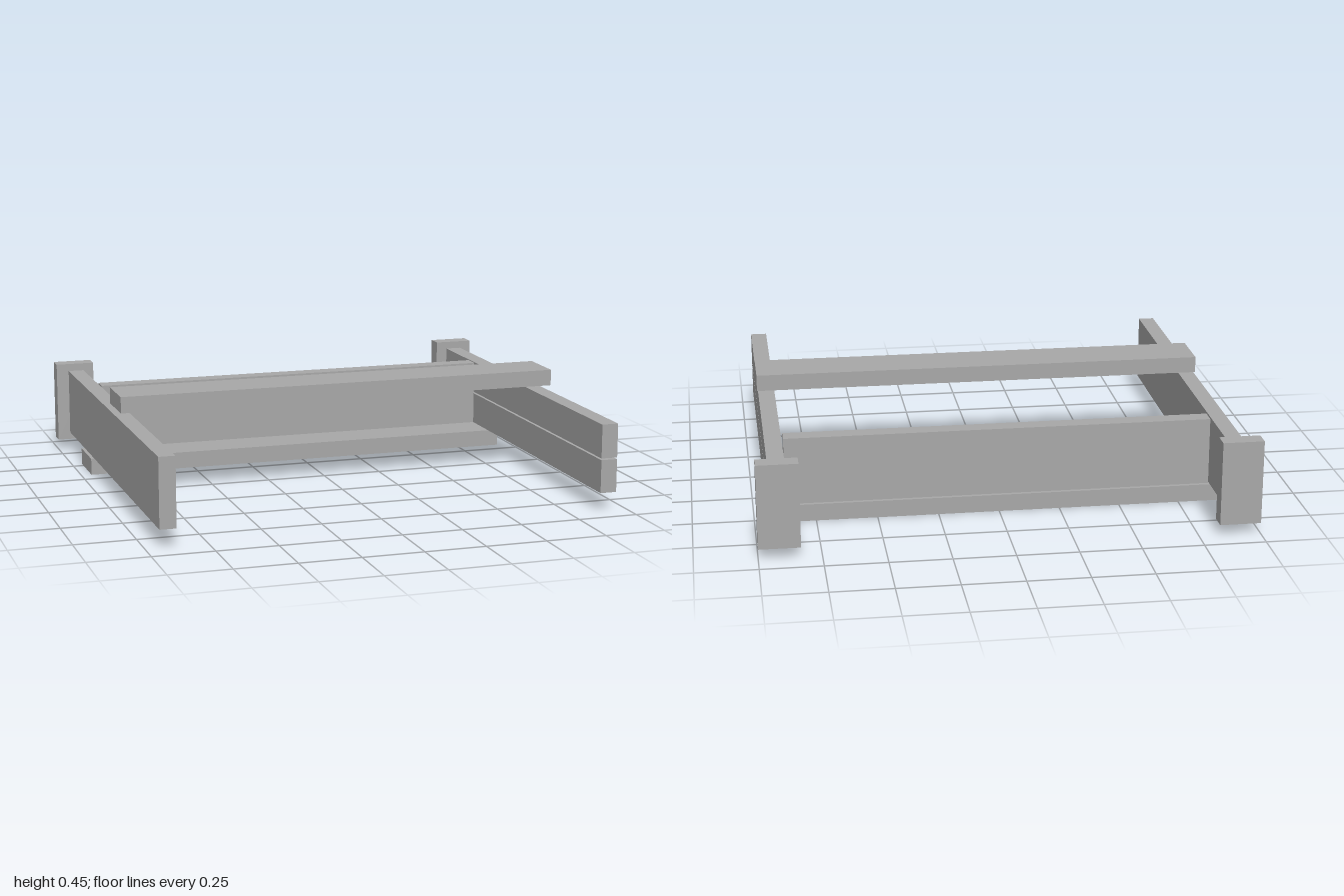
import * as THREE from 'three';

export function createModel() {
  const group = new THREE.Group();
  const grey = new THREE.MeshStandardMaterial({ color: 0xa8a8a8 });
  grey.name = 'plain grey';

  // A board given by its extents along each axis
  function board(name, [x0, x1], [y0, y1], [z0, z1]) {
    const mesh = new THREE.Mesh(new THREE.BoxGeometry(x1 - x0, y1 - y0, z1 - z0), grey);
    mesh.position.set((x0 + x1) / 2, (y0 + y1) / 2, (z0 + z1) / 2);
    mesh.name = name;
    group.add(mesh);
  }

  // Side rails: one solid board, and one made of two stacked boards
  const railZ = [-0.842, 0.91];
  board('rightRail', [-0.946, -0.879], [0.076, 0.36], railZ);
  board('leftRailLower', [0.882, 0.951], [0.076, 0.213], railZ);
  board('leftRailUpper', [0.882, 0.951], [0.22, 0.36], railZ);

  // Back end posts
  const postY = [0.045, 0.392], postZ = [-0.912, -0.842];
  board('rightPost', [-1, -0.833], postY, postZ);
  board('leftPost', [0.833, 1], postY, postZ);

  // Upright cross board between the rails
  board('crossBoard', [-0.873, 0.875], [0.08, 0.36], [-0.536, -0.466]);

  // Flat planks under and over the rails
  board('bottomPlank', [-0.956, 0.937], [0, 0.071], [-0.53, -0.322]);
  board('topPlank', [-0.937, 0.957], [0.383, 0.451], [0.011, 0.221]);

  return group;
}
